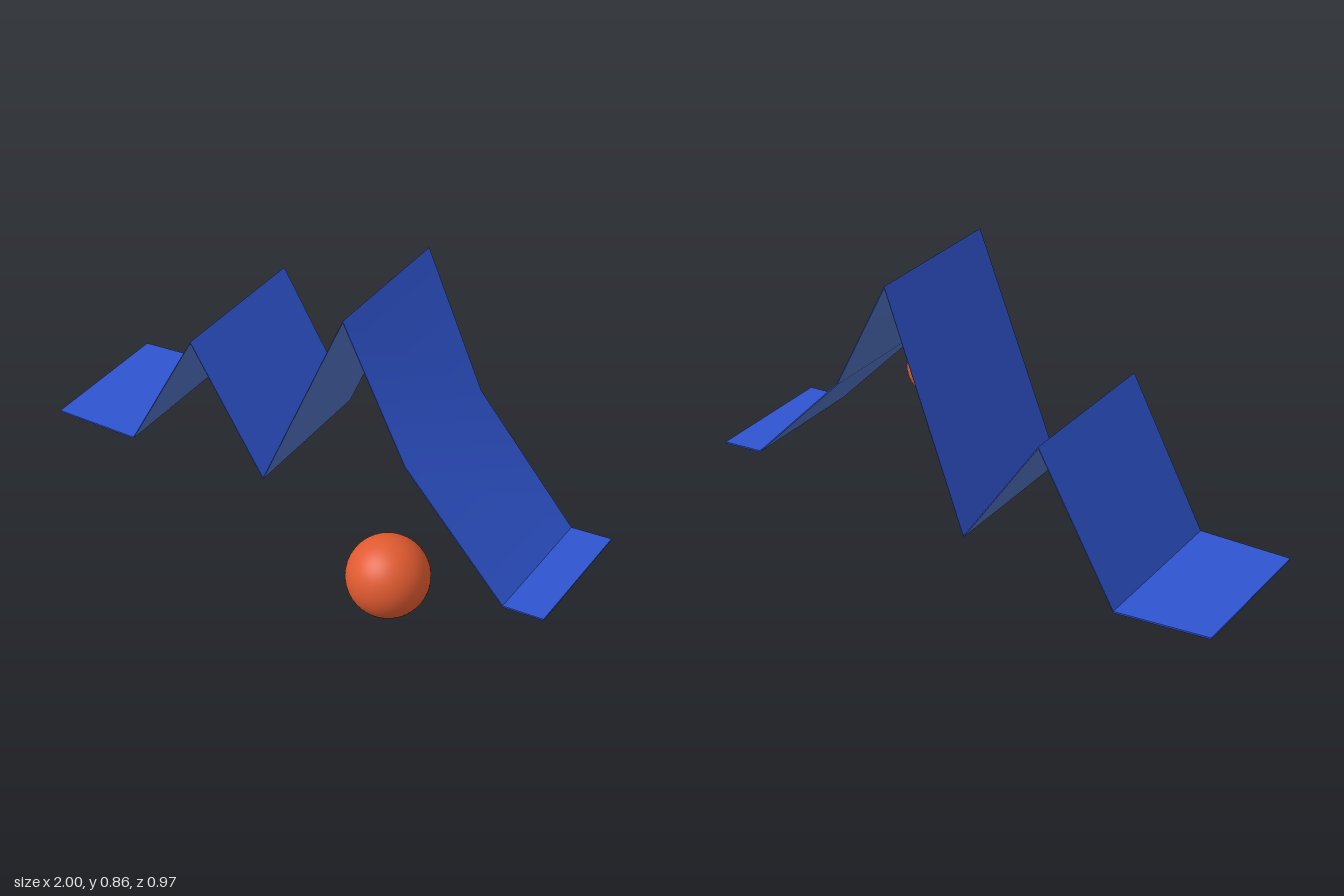
import * as THREE from 'three';
import { toCreasedNormals } from 'three/addons/utils/BufferGeometryUtils.js';

const THICKNESS = 0.006;

// Fold lines of the ribbon: x, y, front z, back z
const FOLDS = [
  [-1, 0.009, 0.105, -0.415],
  [-0.68, 0.009, 0.085, -0.465],
  [-0.41, 0.523, 0.08, -0.485],
  [-0.11, 0.078, 0.09, -0.465],
  [0.22, 0.862, 0.113, -0.413],
  [0.475, 0.41, 0.132, -0.361],
  [0.86, 0.009, 0.135, -0.34],
  [1, 0.009, 0.118, -0.361],
];

// Strip of quads between two matching rows of points
function strip(rowA, rowB) {
  const positions = [];
  for (let i = 0; i < rowA.length - 1; i++) {
    const [a, b, c, d] = [rowA[i], rowA[i + 1], rowB[i + 1], rowB[i]];
    positions.push(...a, ...b, ...c, ...a, ...c, ...d);
  }
  const geometry = new THREE.BufferGeometry();
  geometry.setAttribute('position', new THREE.Float32BufferAttribute(positions, 3));
  geometry.computeVertexNormals();
  return toCreasedNormals(geometry, Math.PI / 6);
}

function material(name, color) {
  const m = new THREE.MeshStandardMaterial({ color });
  m.name = name;
  return m;
}

function mesh(name, geometry, mat) {
  const m = new THREE.Mesh(geometry, mat);
  m.name = name;
  return m;
}

export function createModel() {
  const blue = material('ribbon blue', 0x2f55d0);
  const paleBlue = material('underside blue', 0x5072c0);
  const orange = material('ball orange', 0xe05a30);

  const model = new THREE.Group();
  model.name = 'foldedRibbonAndBall';

  // Folded ribbon: upper face, paler underside and thin rim
  const row = (zIndex, drop) => FOLDS.map((f) => [f[0], f[1] - drop, f[zIndex]]);
  const front = row(2, 0);
  const back = row(3, 0);
  const frontLow = row(2, THICKNESS);
  const backLow = row(3, THICKNESS);
  const last = FOLDS.length - 1;

  const ribbon = new THREE.Group();
  ribbon.name = 'ribbon';
  ribbon.add(
    mesh('ribbonTop', strip(front, back), blue),
    mesh('ribbonUnderside', strip(backLow, frontLow), paleBlue),
    mesh('ribbonFrontRim', strip(frontLow, front), blue),
    mesh('ribbonBackRim', strip(back, backLow), blue),
    mesh('ribbonLeftEnd', strip([frontLow[last], backLow[last]], [front[last], back[last]]), blue),
    mesh('ribbonRightEnd', strip([backLow[0], frontLow[0]], [back[0], front[0]]), blue),
  );
  ribbon.position.y = -0.003;
  model.add(ribbon);

  // Ball resting in front of the long slope
  const ball = mesh('ball', new THREE.SphereGeometry(0.137, 48, 32), orange);
  ball.position.set(0.553, 0.141, 0.347);
  model.add(ball);

  return model;
}
